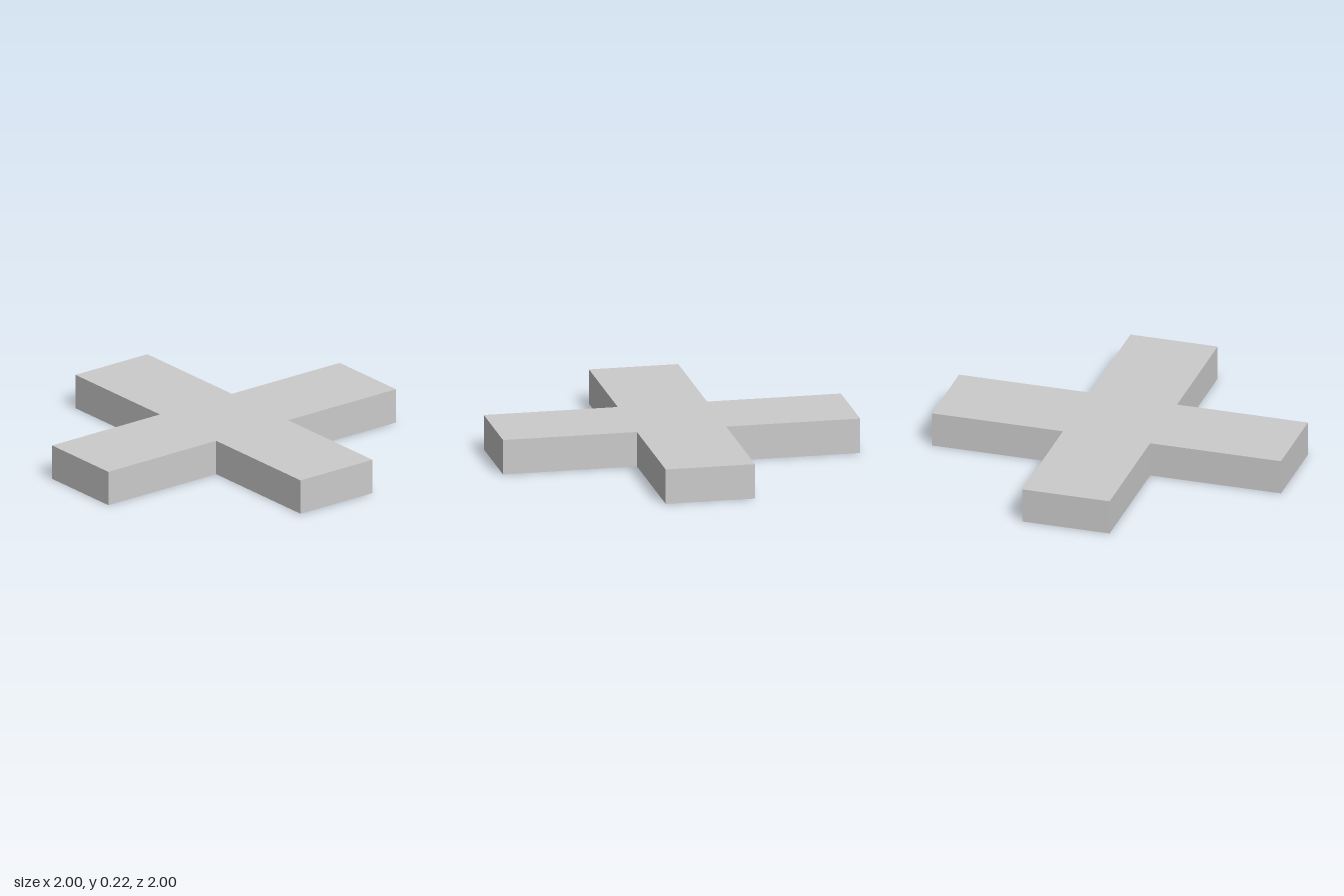
import * as THREE from 'three';

const HEIGHT = 0.222;

export function createModel() {
  const group = new THREE.Group();
  group.name = 'diagonalCross';

  // Outline of one arm (inner notch, then the two tip corners), repeated by quarter turns
  const arm = [[0.4, 0], [1, 0.6], [0.6, 1]];
  const centre = new THREE.Vector2();
  const outline = [];
  for (let i = 0; i < 4; i++) {
    for (const [x, y] of arm) {
      outline.push(new THREE.Vector2(x, y).rotateAround(centre, i * Math.PI / 2));
    }
  }

  // Flat slab standing on the ground
  const geometry = new THREE.ExtrudeGeometry(new THREE.Shape(outline), {
    depth: HEIGHT,
    bevelEnabled: false,
  });
  geometry.rotateX(-Math.PI / 2);

  const material = new THREE.MeshStandardMaterial({ color: 0xcccccc, flatShading: true });
  const slab = new THREE.Mesh(geometry, material);
  slab.name = 'crossSlab';
  group.add(slab);
  return group;
}
